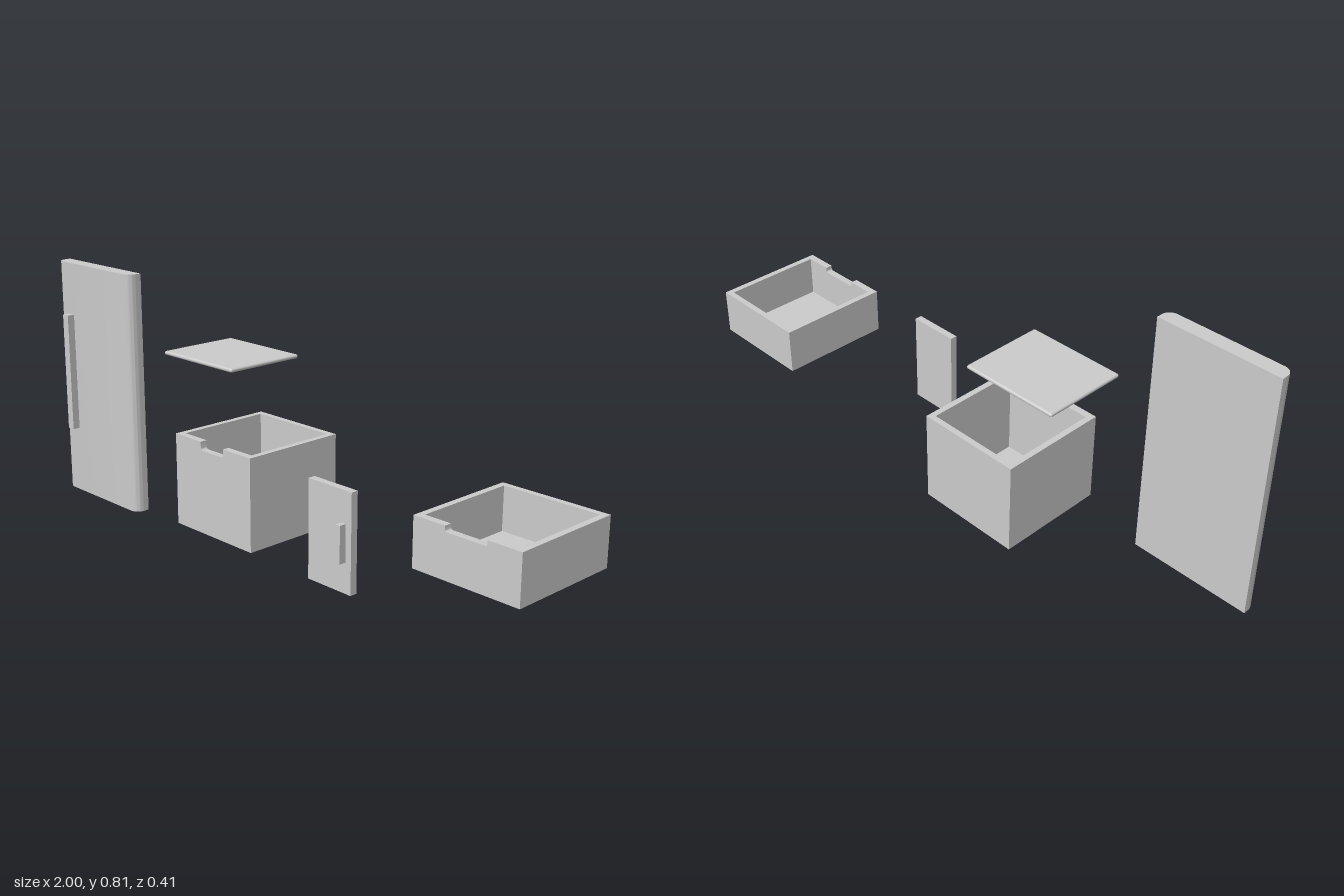
import * as THREE from 'three';
import { toCreasedNormals } from 'three/addons/utils/BufferGeometryUtils.js';
import { RoundedBoxGeometry } from 'three/addons/geometries/RoundedBoxGeometry.js';

const material = new THREE.MeshStandardMaterial({ color: 0xcccccc });

function add(parent, name, geometry) {
  const mesh = new THREE.Mesh(geometry, material);
  mesh.name = name;
  parent.add(mesh);
  return mesh;
}

// Box given by its limits on each axis
function block(parent, name, [x0, x1], [y0, y1], [z0, z1]) {
  const mesh = add(parent, name, new THREE.BoxGeometry(x1 - x0, y1 - y0, z1 - z0));
  mesh.position.set((x0 + x1) / 2, (y0 + y1) / 2, (z0 + z1) / 2);
  return mesh;
}

function group(parent, name) {
  const g = new THREE.Group();
  g.name = name;
  parent.add(g);
  return g;
}

// Open-topped drawer with a finger notch cut in the front panel
function drawer(parent, name, [x0, x1], [y0, y1], [z0, z1], notch) {
  const g = group(parent, name);
  const wall = 0.02, front = 0.024, floor = 0.016, zi = z1 - front;
  const [n0, n1, depth, r] = notch;
  const bottom = y1 - depth;

  const panel = new THREE.Shape();
  panel.moveTo(x0, y0);
  panel.lineTo(x1, y0);
  panel.lineTo(x1, y1);
  panel.lineTo(n1, y1);
  panel.lineTo(n1, bottom + r);
  panel.quadraticCurveTo(n1, bottom, n1 - r, bottom);
  panel.lineTo(n0 + r, bottom);
  panel.quadraticCurveTo(n0, bottom, n0, bottom + r);
  panel.lineTo(n0, y1);
  panel.lineTo(x0, y1);
  const panelGeometry = new THREE.ExtrudeGeometry(panel, { depth: front, bevelEnabled: false, curveSegments: 6 });
  add(g, 'frontPanel', toCreasedNormals(panelGeometry, 0.6)).position.z = zi;

  block(g, 'rightWall', [x0, x0 + wall], [y0, y1], [z0, zi]);
  block(g, 'leftWall', [x1 - wall, x1], [y0, y1], [z0, zi]);
  block(g, 'backWall', [x0 + wall, x1 - wall], [y0, y1], [z0, z0 + wall]);
  block(g, 'floor', [x0 + wall, x1 - wall], [y0, y0 + floor], [z0 + wall, zi]);
}

export function createModel() {
  const model = new THREE.Group();
  model.name = 'cabinetParts';

  // Tall door: plan outline with rounded front edges, extruded upward
  const tall = group(model, 'tallDoor');
  const [x0, x1, back, front, r] = [-1, -0.597, 0.128, 0.178, 0.03];
  const plan = new THREE.Shape();
  plan.moveTo(x0, -back);
  plan.lineTo(x0, -front + r);
  plan.absarc(x0 + r, -front + r, r, Math.PI, Math.PI * 1.5, false);
  plan.lineTo(x1 - r, -front);
  plan.absarc(x1 - r, -front + r, r, -Math.PI / 2, 0, false);
  plan.lineTo(x1, -back);
  const door = new THREE.ExtrudeGeometry(plan, { depth: 0.812, bevelEnabled: false, curveSegments: 10 });
  door.rotateX(-Math.PI / 2);
  add(tall, 'doorPanel', toCreasedNormals(door, 0.6));
  block(tall, 'doorHandle', [-0.946, -0.917], [0.231, 0.635], [0.176, 0.203]);

  // Thin shelf with rounded rim
  const shelf = add(model, 'shelf', new RoundedBoxGeometry(0.332, 0.013, 0.282, 4, 0.0062));
  shelf.position.set(-0.322, 0.5675, -0.016);

  // Drawers: deep and shallow
  drawer(model, 'deepDrawer', [-0.37, -0.014], [0.028, 0.333], [-0.187, 0.178], [-0.246, -0.139, 0.028, 0.01]);
  drawer(model, 'shallowDrawer', [0.641, 1], [0.18, 0.333], [-0.203, 0.178], [0.751, 0.89, 0.017, 0.008]);

  // Small door with handle
  const small = group(model, 'smallDoor');
  block(small, 'doorPanel', [0.24, 0.413], [0.024, 0.336], [0.154, 0.178]);
  block(small, 'doorHandle', [0.374, 0.391], [0.12, 0.237], [0.176, 0.201]);

  return model;
}
